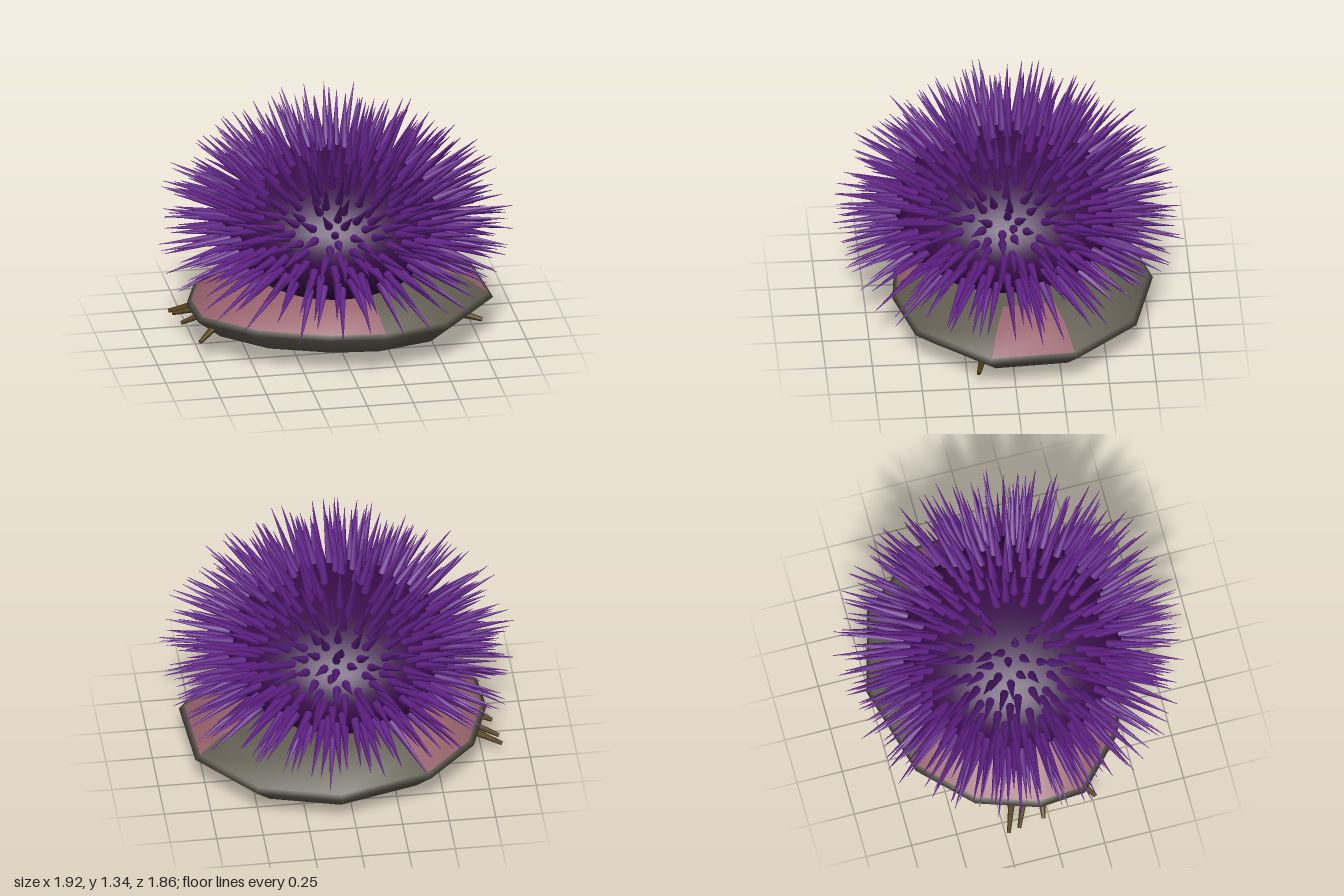
import * as THREE from 'three';
import { mergeGeometries } from 'three/addons/utils/BufferGeometryUtils.js';

const mat = (name, color, extra = {}) => {
  const m = new THREE.MeshStandardMaterial({ color, ...extra });
  m.name = name;
  return m;
};

// Small seeded random generator
function seeded(seed) {
  return () => {
    seed = (seed * 1664525 + 1013904223) % 4294967296;
    return seed / 4294967296;
  };
}

const UP = new THREE.Vector3(0, 1, 0);

// Tapered rod starting at a base point and running along a direction
function rod(base, dir, length, r0, r1, sides) {
  const g = new THREE.CylinderGeometry(r1, r0, length, sides, 1);
  g.translate(0, length / 2, 0);
  g.applyQuaternion(new THREE.Quaternion().setFromUnitVectors(UP, dir));
  g.translate(base.x, base.y, base.z);
  return g;
}

// Flat pebble: an uneven outline scaled through a stack of rings
function rockGeometry() {
  const outline = [
    [0.84, 0.14], [0.81, -0.32], [0.52, -0.66], [0.08, -0.78], [-0.42, -0.64], [-0.68, -0.38],
    [-0.79, -0.05], [-0.77, 0.2], [-0.5, 0.45], [-0.12, 0.59], [0.18, 0.62], [0.53, 0.52],
  ];
  const rings = [ // height, scale
    [0, 0.001], [0.022, 0.52], [0.1, 0.84], [0.21, 1], [0.235, 0.965], [0.33, 0.8], [0.365, 0.6], [0.38, 0.001],
  ];
  const cx = 0.03, cz = -0.08, n = outline.length;
  const pos = [];
  for (const [y, s] of rings)
    for (const [x, z] of outline) pos.push(cx + (x - cx) * s, y, cz + (z - cz) * s);

  // Crust covers the upper slope along two stretches of the outline
  const plain = [], crust = [];
  for (let r = 0; r < rings.length - 1; r++)
    for (let i = 0; i < n; i++) {
      const j = (i + 1) % n;
      const a = r * n + i, b = r * n + j, c = a + n, d = b + n;
      const pink = r >= 4 && r <= 5 && (i === 0 || (i >= 4 && i <= 9));
      (pink ? crust : plain).push(a, b, d, a, d, c);
    }
  const g = new THREE.BufferGeometry();
  g.setAttribute('position', new THREE.Float32BufferAttribute(pos, 3));
  g.setIndex([...plain, ...crust]);
  g.addGroup(0, plain.length, 0);
  g.addGroup(plain.length, crust.length, 1);
  g.computeVertexNormals();
  return g;
}

// Spines spread evenly over the dome in a golden-angle spiral
function spineGeometry(center, radii) {
  const rand = seeded(11);
  const count = 460, parts = [];
  for (let i = 0; i < count; i++) {
    const y = 0.99 - 1.47 * ((i + 0.5) / count) + (rand() - 0.5) * 0.03;
    const a = i * 2.39996 + (rand() - 0.5) * 0.12;
    const s = Math.sqrt(1 - y * y);
    const u = new THREE.Vector3(s * Math.cos(a), y, s * Math.sin(a));
    const base = u.clone().multiply(radii).multiplyScalar(0.98).add(center);
    const dir = u.clone();
    dir.x += (rand() - 0.5) * 0.16;
    dir.y += (rand() - 0.5) * 0.16;
    dir.z += (rand() - 0.5) * 0.16;
    dir.normalize();
    const length = (0.27 + 0.13 * rand()) * (1 - 0.14 * Math.max(0, y));
    parts.push(rod(base, dir, length, 0.024, 0.001, 7));
  }
  return mergeGeometries(parts);
}

export function createModel() {
  const group = new THREE.Group();
  const add = (name, geometry, material) => {
    const m = new THREE.Mesh(geometry, material);
    m.name = name;
    group.add(m);
  };

  const stone = mat('stone grey', 0x605c50);
  const crust = mat('pink crust', 0x95606a);
  const shell = mat('dark purple', 0x3a0d4a);
  const spine = mat('spine purple', 0x5f2085);
  const tube = mat('dark olive brown', 0x4a380c);

  add('rock', rockGeometry(), [stone, crust]);

  // Flattened body
  const center = new THREE.Vector3(0, 0.65, 0);
  const radii = new THREE.Vector3(0.59, 0.38, 0.59);
  const body = new THREE.SphereGeometry(1, 36, 24);
  body.scale(radii.x, radii.y, radii.z);
  body.translate(center.x, center.y, center.z);
  add('body', body, shell);
  add('spines', spineGeometry(center, radii), spine);

  // Little tubes poking out of the rock's edge: base, then tip
  const tubes = [
    [[-0.66, 0.17, -0.17], [-0.85, 0.1, -0.24]],
    [[-0.66, 0.17, -0.1], [-0.84, 0.11, -0.18]],
    [[-0.68, 0.17, -0.02], [-0.82, 0.11, -0.04]],
    [[-0.66, 0.18, 0.17], [-0.77, 0.12, 0.26]],
    [[0.66, 0.14, 0.17], [0.77, 0.11, 0.2]],
  ].map(([p, q]) => {
    const base = new THREE.Vector3(...p), dir = new THREE.Vector3(...q).sub(base);
    const length = dir.length();
    return rod(base, dir.normalize(), length, 0.022, 0.011, 8);
  });
  add('tubes', mergeGeometries(tubes), tube);

  return group;
}
